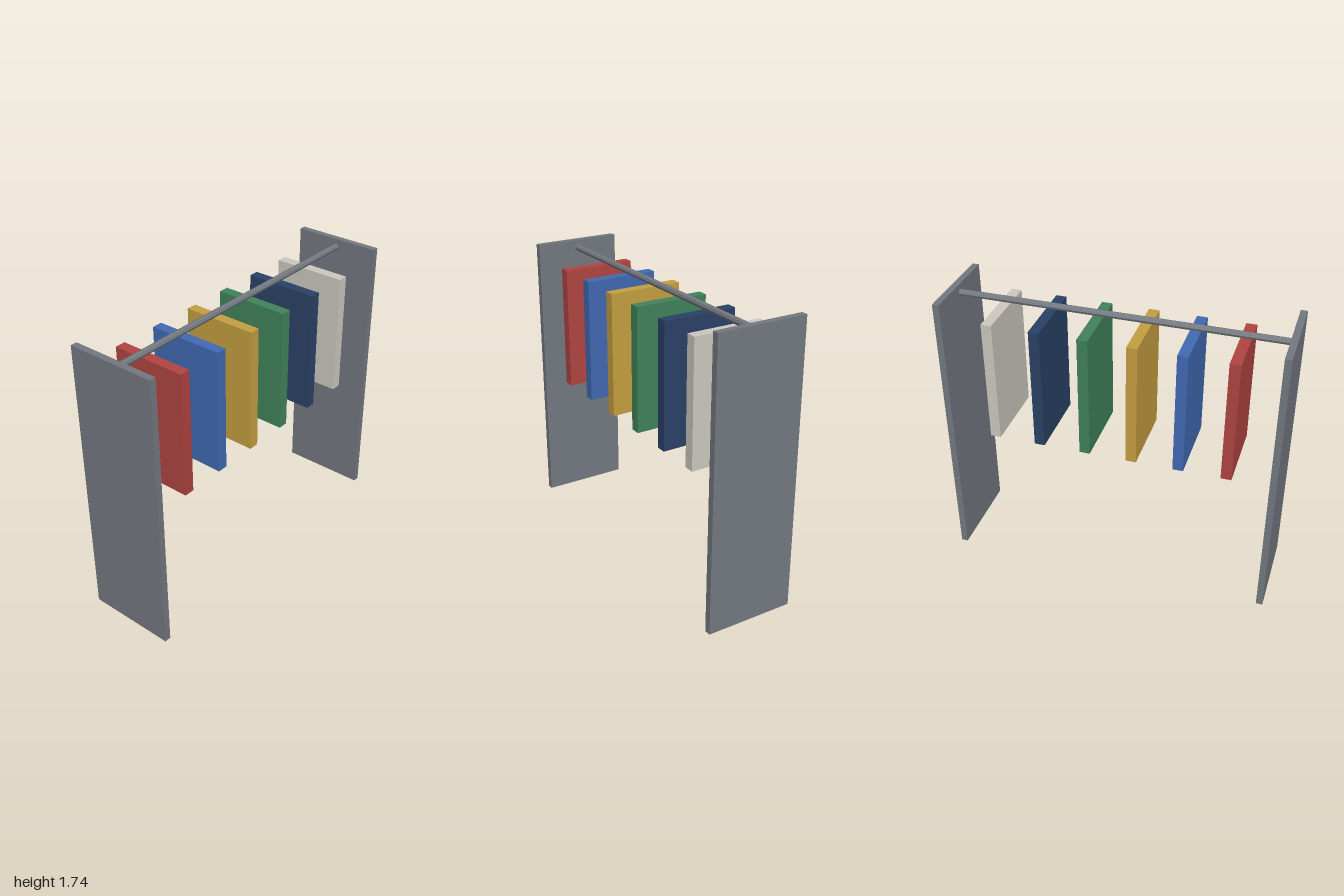
import * as THREE from 'three';

const paint = (name, color) => {
  const m = new THREE.MeshStandardMaterial({ color });
  m.name = name;
  return m;
};

export function createModel() {
  const rack = new THREE.Group();
  rack.name = 'clothesRack';
  const add = (name, geometry, material, x, y, z = 0) => {
    const mesh = new THREE.Mesh(geometry, material);
    mesh.name = name;
    mesh.position.set(x, y, z);
    rack.add(mesh);
  };

  // Side panels standing on the floor
  const grey = paint('steelGrey', 0x737880);
  const panel = new THREE.BoxGeometry(0.04, 1.74, 0.544);
  add('leftPanel', panel, grey, 0.98, 0.87);
  add('rightPanel', panel, grey, -0.98, 0.87);

  // Faceted hanging rail between the panels
  const rail = new THREE.CylinderGeometry(0.02, 0.02, 1.92, 8).toNonIndexed();
  rail.rotateZ(Math.PI / 2);
  rail.computeVertexNormals();
  add('rail', rail, grey, 0, 1.69);

  // Row of garments, evenly spaced below the rail
  const garment = new THREE.BoxGeometry(0.063, 0.76, 0.456);
  const colours = [
    ['red', 0xb04441], ['blue', 0x4169b2], ['yellow', 0xc59e40],
    ['green', 0x40825a], ['navy', 0x2a4166], ['offWhite', 0xccc8bf],
  ];
  colours.forEach(([name, hex], i) => {
    add(`${name}Garment`, garment, paint(name, hex), (i - 2.5) * 0.2824, 1.254);
  });

  return rack;
}
